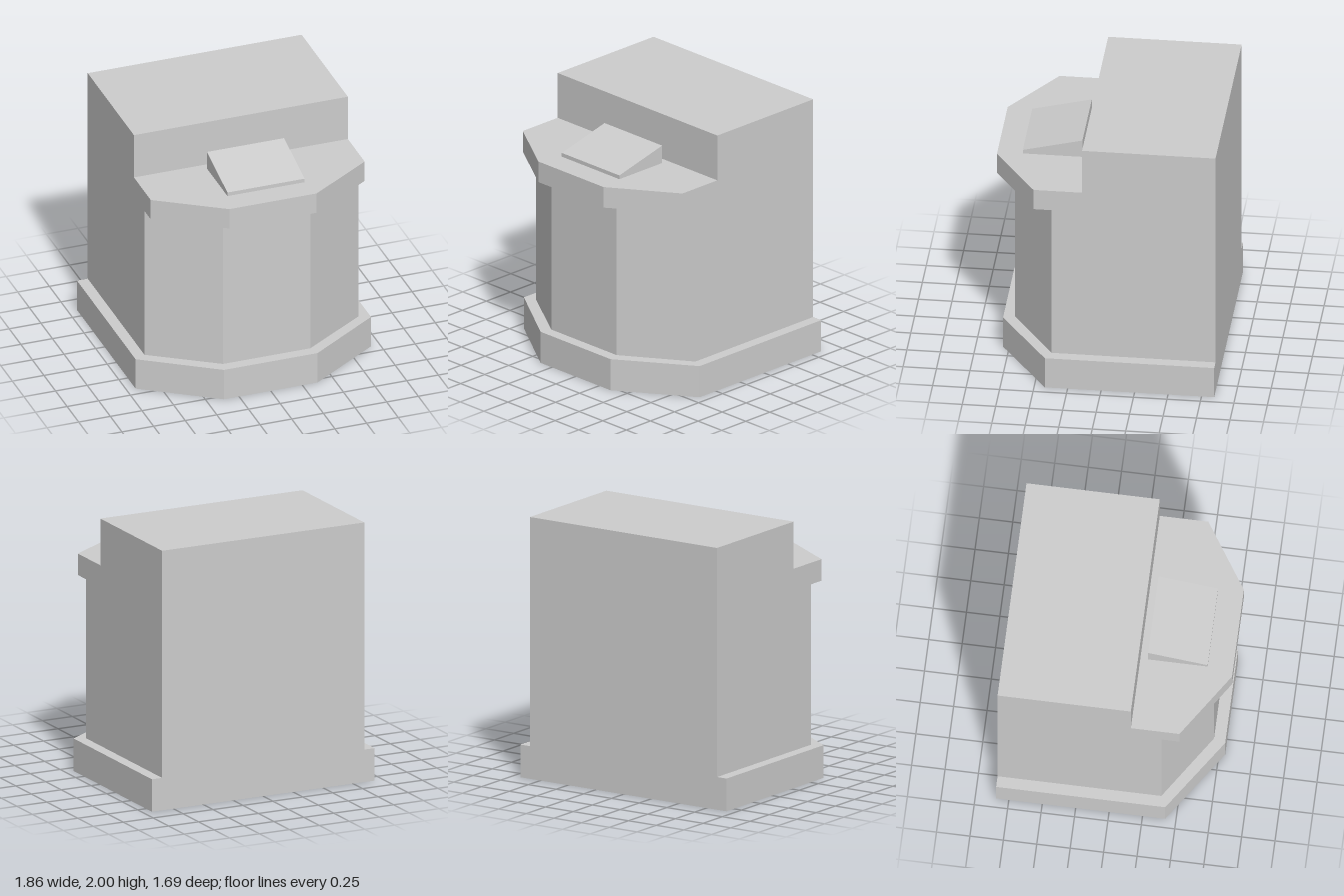
import * as THREE from 'three';

const BACK = -0.845;

// Six-sided outline: straight back and sides, chamfered front corners
function outline(y, x, sideZ, frontX, frontZ) {
  return [
    [-x, y, BACK], [-x, y, sideZ], [-frontX, y, frontZ],
    [frontX, y, frontZ], [x, y, sideZ], [x, y, BACK],
  ];
}

// Flat-faced skin through a stack of outlines, open at both ends
function loft(sections) {
  const pos = [];
  const tri = (a, b, c) => {
    const [A, B, C] = [a, b, c].map((p) => new THREE.Vector3(...p));
    if (B.sub(A).cross(C.sub(A)).length() > 1e-6) pos.push(...a, ...b, ...c);
  };
  for (let s = 0; s < sections.length - 1; s++) {
    const lo = sections[s], hi = sections[s + 1];
    for (let i = 0; i < lo.length; i++) {
      const j = (i + 1) % lo.length;
      tri(lo[i], lo[j], hi[j]);
      tri(lo[i], hi[j], hi[i]);
    }
  }
  const geo = new THREE.BufferGeometry();
  geo.setAttribute('position', new THREE.Float32BufferAttribute(pos, 3));
  geo.computeVertexNormals();
  return geo;
}

export function createModel() {
  const group = new THREE.Group();
  const grey = new THREE.MeshStandardMaterial({ color: 0xcccccc, side: THREE.DoubleSide });
  grey.name = 'lightGrey';

  const add = (name, geo) => {
    const mesh = new THREE.Mesh(geo, grey);
    mesh.name = name;
    group.add(mesh);
    return mesh;
  };

  const plinth = (y) => outline(y, 0.93, 0.42, 0.37, 0.797);
  const body = (y) => outline(y, 0.845, 0.38, 0.345, 0.71);
  const shelf = (y) => outline(y, 0.845, 0.515, 0.345, 0.845);
  const upper = (y) => outline(y, 0.845, 0.152, 0.345, 0.152);

  // Hollow shell, open underneath
  add('plinth', loft([plinth(0), plinth(0.25), body(0.25)]));
  add('body', loft([body(0.25), body(1.475)]));
  add('counter', loft([body(1.475), shelf(1.475), shelf(1.64), upper(1.64)]));
  // The last outline folds onto the back edge to close the top
  add('upperCabinet', loft([upper(1.64), upper(2), outline(2, 0.845, BACK, 0.345, BACK)]));

  // Sloping desk on the counter: side profile (z, y) extruded along x
  const profile = new THREE.Shape([
    new THREE.Vector2(-0.21, 1.64), new THREE.Vector2(-0.21, 1.78),
    new THREE.Vector2(-0.655, 1.67), new THREE.Vector2(-0.655, 1.64),
  ]);
  const desk = add('slopedDesk', new THREE.ExtrudeGeometry(profile, { depth: 0.61, bevelEnabled: false }));
  desk.rotation.y = Math.PI / 2;
  desk.position.x = -0.29;

  return group;
}
